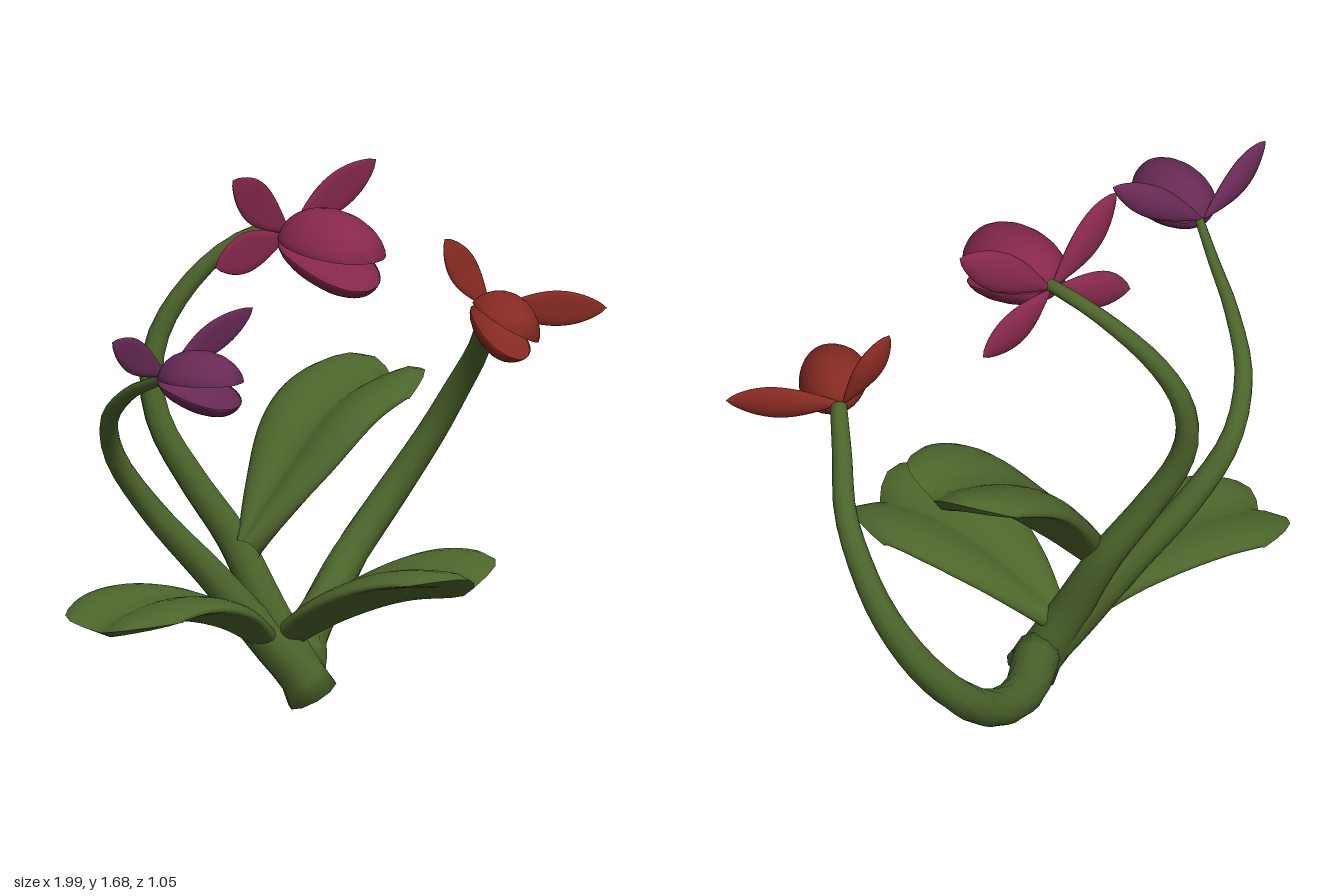
import * as THREE from 'three';

const V = (a) => new THREE.Vector3(...a);
const material = (color) => new THREE.MeshStandardMaterial({ color, side: THREE.DoubleSide });

// Sweep an oval section along a path. w, th: half width and half thickness at t.
// cup(s) lifts the section across its width, reach(s) pushes the far end along the path.
function sweep(name, mat, points, { w, th, up, cup = () => 0, reach = () => 0, rows = 20, seg = 20, caps = false }) {
  const curve = new THREE.CatmullRomCurve3(points.map(V));
  const pos = [], index = [];
  const first = caps ? -1 : 0, last = caps ? rows + 1 : rows;
  for (let i = first; i <= last; i++) {
    const t = THREE.MathUtils.clamp(i / rows, 0, 1);
    const k = i < 0 || i > rows ? 0 : 1;
    const P = curve.getPointAt(t), T = curve.getTangentAt(t);
    const S = V(up).cross(T).normalize(), N = T.clone().cross(S);
    for (let j = 0; j < seg; j++) {
      const a = (j / seg) * Math.PI * 2, s = Math.cos(a) * k;
      const p = P.clone()
        .addScaledVector(S, w(t) * s)
        .addScaledVector(N, th(t) * Math.sin(a) * k + w(t) * cup(Math.abs(s)))
        .addScaledVector(T, t ** 4 * reach(Math.abs(s)));
      pos.push(p.x, p.y, p.z);
    }
  }
  for (let i = 0; i < last - first; i++)
    for (let j = 0; j < seg; j++) {
      const a = i * seg + j, b = i * seg + ((j + 1) % seg);
      index.push(a, b, b + seg, a, b + seg, a + seg);
    }
  const g = new THREE.BufferGeometry();
  g.setAttribute('position', new THREE.Float32BufferAttribute(pos, 3));
  g.setIndex(index);
  g.computeVertexNormals();
  const mesh = new THREE.Mesh(g, mat);
  mesh.name = name;
  return mesh;
}

// Round stem tapering from r0 to r1; a smaller ease thins it sooner
const stem = (name, mat, points, r0, r1, ease) => {
  const r = (t) => THREE.MathUtils.lerp(r0, r1, t ** ease);
  return sweep(name, mat, points, { w: r, th: r, up: [1, 0, 0], rows: 28, seg: 10, caps: true });
};

// Broad grooved leaf with a notched tip
const leaf = (name, mat, points, width, groove, thickness) =>
  sweep(name, mat, points, {
    w: (t) => width * (0.15 + 0.85 * Math.sin((Math.min(1, t * 1.15) * Math.PI) / 2)),
    th: (t) => thickness * Math.sqrt(1 - t ** 12),
    up: [0, 1, 0],
    cup: (s) => groove * Math.sin(2 * s),
    reach: (s) => 0.04 * Math.sin(Math.PI * s) - 0.14 * s ** 4,
    seg: 28,
  });

// Slim outer petal from the flower base to its tip
function petal(mat, base, tip, width) {
  const mid = V(base).lerp(V(tip), 0.5);
  mid.z -= 0.015;
  return sweep('outerPetal', mat, [base, mid.toArray(), tip], {
    w: (t) => width * Math.sin(Math.PI * t ** 1.25) ** 0.75,
    th: (t) => 0.018 * Math.sin(Math.PI * t) ** 0.6,
    up: [0, 0, 1],
    cup: (s) => 0.15 * s * s,
    seg: 14,
  });
}

// Domed upper lip and boat-shaped lower lip, opening toward +z; each path follows the rim
function lips(mat) {
  const g = new THREE.Group();
  g.name = 'lips';
  const dome = (width, height, up) => ({
    w: (t) => width * Math.sqrt(4 * t * (1 - t)),
    th: (t) => 0.015 * Math.sqrt(4 * t * (1 - t)),
    up,
    cup: (s) => height * (1 - s * s) ** 0.7,
    rows: 28,
    seg: 24,
  });
  g.add(sweep('upperLip', mat, [[0, 0.01, 0], [0, -0.01, 0.19], [0, -0.03, 0.38]], dome(0.14, 0.7, [0, 1, 0])));
  g.add(sweep('lowerLip', mat, [[0, 0, 0], [0, -0.045, 0.18], [0, -0.12, 0.355]], dome(0.135, 0.5, [0, -1, 0])));
  return g;
}

function flower({ name, color, base, scale, pitch = 0, yaw = 0, roll = 0, tips, width }) {
  const g = new THREE.Group(), mat = material(color);
  g.name = name;
  const mouth = lips(mat);
  mouth.position.set(...base);
  mouth.scale.setScalar(scale);
  mouth.rotation.set(pitch, yaw, roll, 'YXZ');
  g.add(mouth, ...tips.map((tip) => petal(mat, base, tip, width)));
  return g;
}

export function createModel() {
  const model = new THREE.Group();
  model.name = 'floweringPlant';
  const green = material(0x4d652b);

  // Stems
  model.add(
    stem('rightStem', green, [
      [0.115, 0.03, -0.075], [0.085, 0.09, -0.09], [0.0, 0.2, -0.14], [-0.15, 0.41, -0.23], [-0.31, 0.61, -0.31],
      [-0.45, 0.8, -0.335], [-0.55, 0.95, -0.26], [-0.62, 1.07, -0.1], [-0.67, 1.14, 0.06], [-0.73, 1.2, 0.23]],
      0.083, 0.013, 0.6),
    stem('middleStem', green, [
      [0.11, 0.05, -0.08], [0.03, 0.26, -0.16], [-0.03, 0.5, -0.27], [-0.12, 0.68, -0.35], [-0.19, 0.85, -0.42],
      [-0.2, 0.98, -0.455], [-0.17, 1.12, -0.46], [-0.1, 1.26, -0.42], [0.0, 1.39, -0.34], [0.06, 1.45, -0.25],
      [0.09, 1.465, -0.14]], 0.075, 0.02, 0.7),
    stem('leftStem', green, [
      [0.12, 0.12, -0.12], [0.3, 0.15, -0.3], [0.48, 0.22, -0.41], [0.63, 0.33, -0.465], [0.78, 0.5, -0.445],
      [0.87, 0.68, -0.37], [0.895, 0.83, -0.28], [0.875, 0.96, -0.17], [0.8, 1.07, -0.05], [0.72, 1.15, 0.08]],
      0.072, 0.026, 1),
  );

  // Leaves
  model.add(
    leaf('rightLeaf', green, [
      [0.0, 0.2, -0.14], [-0.2, 0.31, -0.14], [-0.42, 0.36, -0.145], [-0.685, 0.33, -0.15]], 0.225, 0.17, 0.035),
    leaf('leftLeaf', green, [
      [-0.03, 0.48, -0.2], [0.14, 0.655, -0.21], [0.33, 0.82, -0.22], [0.58, 0.91, -0.22]], 0.235, 0.26, 0.046),
    leaf('frontLeaf', green, [
      [0.05, 0.2, -0.14], [0.12, 0.32, 0.06], [0.205, 0.4, 0.26], [0.3, 0.42, 0.45]], 0.245, 0.25, 0.036),
  );

  // Flowers
  model.add(
    flower({
      name: 'middleFlower', color: 0x86284c, base: [0.09, 1.455, -0.15], scale: 1, width: 0.064,
      tips: [[-0.19, 1.67, -0.1], [0.39, 1.65, -0.09], [-0.17, 1.38, -0.2], [0.36, 1.32, -0.17]],
    }),
    flower({
      name: 'rightFlower', color: 0x682a55, base: [-0.73, 1.195, 0.2], scale: 0.8, pitch: -0.15, width: 0.052,
      tips: [[-1.0, 1.35, 0.25], [-0.45, 1.38, 0.28]],
    }),
    flower({
      name: 'leftFlower', color: 0x862a22, base: [0.71, 1.16, 0.07], scale: 0.78, yaw: -0.38, roll: -0.5, width: 0.055,
      tips: [[0.58, 1.39, 0.01], [0.99, 1.16, 0.29]],
    }),
  );
  return model;
}
